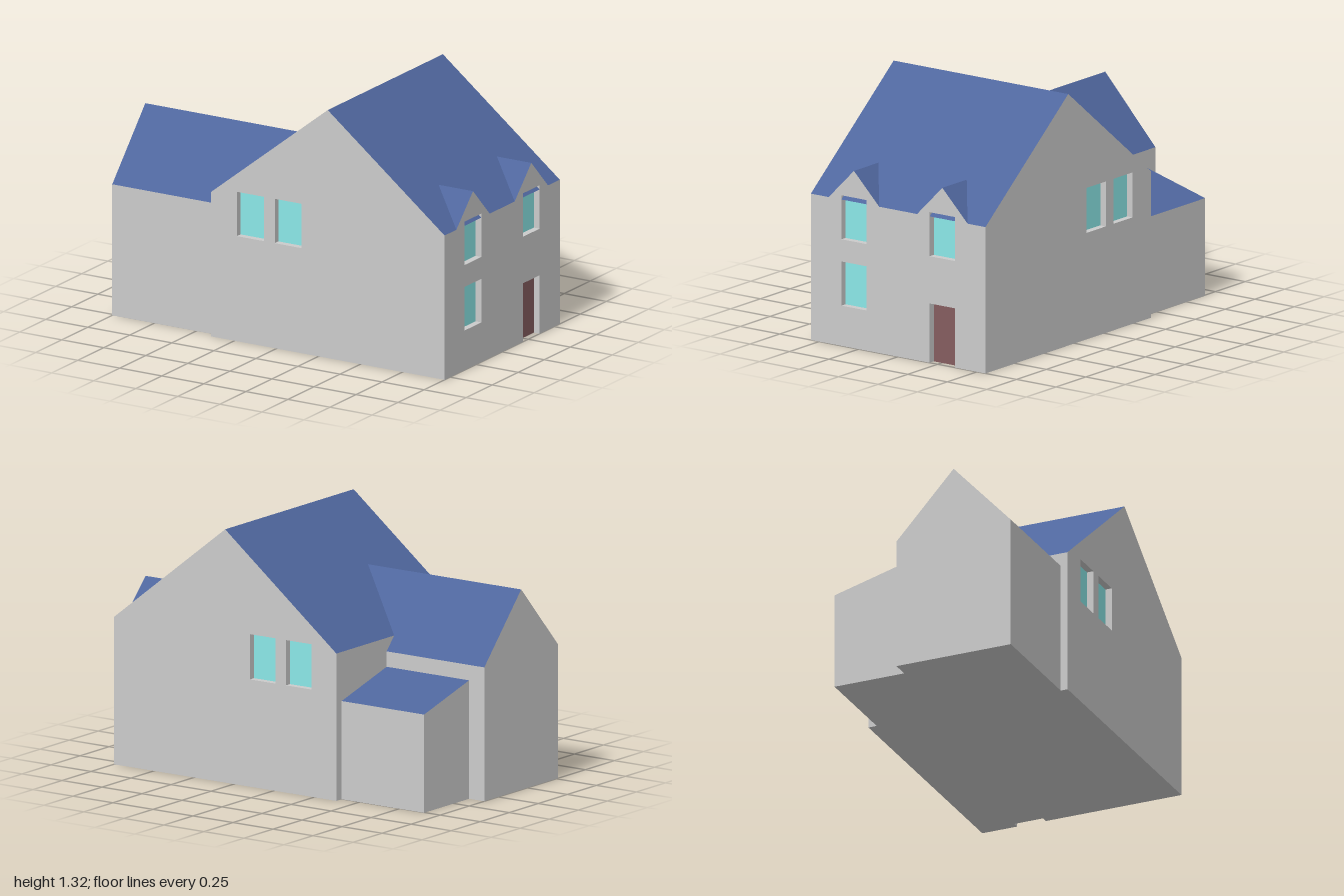
import * as THREE from 'three';

const mat = (color) => new THREE.MeshStandardMaterial({ color, flatShading: true, side: THREE.DoubleSide });
const wallMat = mat(0xcccccc);
const roofMat = mat(0x4f669d);
const glassMat = mat(0x8be8e8);
const doorMat = mat(0x855d5f);

// Main block, wing and lean-to dimensions
const L = -0.39, R = 1, D = 0.553, EAVE = 0.765, RIDGE = 1.315, MID = (L + R) / 2;
const WING = { x: -1, z0: -0.12, z1: 0.515, eave: 0.695, ridge: 1.04 };
const SHED = { x: -0.905, z: -0.507, low: 0.51, high: 0.615 };
const SLOPE = (RIDGE - EAVE) / (MID - L);
const RECESS = 0.035;
const DOOR = { z0: -0.36, z1: -0.2, h: 0.31 };

// Flat polygons, each a convex loop of [x, y, z] corners, counter-clockwise from outside
function polygons(name, material, loops) {
  const pos = [];
  for (const p of loops)
    for (let i = 1; i < p.length - 1; i++) pos.push(...p[0], ...p[i], ...p[i + 1]);
  const g = new THREE.BufferGeometry();
  g.setAttribute('position', new THREE.Float32BufferAttribute(pos, 3));
  g.computeVertexNormals();
  const mesh = new THREE.Mesh(g, material);
  mesh.name = name;
  return mesh;
}

const outlineShape = (pts) => new THREE.Shape(pts.map((p) => new THREE.Vector2(...p)));

// Recessed pane with its reveals, in the wall's own plane (z = 0)
function opening(name, material, x0, x1, y0, y1) {
  const g = new THREE.Group();
  g.name = name;
  const r = -RECESS;
  const pts = [[x0, y0], [x1, y0], [x1, y1], [x0, y1]];
  g.add(polygons(name + 'Pane', material, [pts.map(([x, y]) => [x, y, r])]));
  const sides = pts.map((a, i) => {
    const b = pts[(i + 1) % 4];
    return [[...a, 0], [...b, 0], [...b, r], [...a, r]];
  });
  if (y0 === 0) sides.shift();
  g.add(polygons(name + 'Reveal', wallMat, sides));
  return g;
}

// Wall with window holes
function wall(name, outline, windows) {
  const g = new THREE.Group();
  g.name = name;
  const shape = outlineShape(outline);
  for (const [x0, x1, y0, y1] of windows) {
    shape.holes.push(new THREE.Path([[x0, y0], [x0, y1], [x1, y1], [x1, y0]].map((p) => new THREE.Vector2(...p))));
    g.add(opening('window', glassMat, x0, x1, y0, y1));
  }
  const face = new THREE.Mesh(new THREE.ShapeGeometry(shape), wallMat);
  face.name = name + 'Face';
  g.add(face);
  return g;
}

export function createModel() {
  const house = new THREE.Group();
  house.name = 'house';

  // Front and back gable walls, with matching windows
  for (const s of [1, -1]) {
    const outline = [[L, 0], [R, 0], [R, EAVE], [MID, RIDGE], [L, EAVE]].map(([x, y]) => [x * s, y]);
    const windows = [[-0.235, -0.075], [-0.01, 0.15]].map(([a, b]) =>
      [Math.min(a * s, b * s), Math.max(a * s, b * s), 0.557, 0.792]);
    const gable = wall(s > 0 ? 'frontWall' : 'backWall', outline, windows);
    gable.position.z = s * D;
    gable.rotation.y = s > 0 ? 0 : Math.PI;
    house.add(gable);
  }

  // Entrance wall on +x, with two dormer gables and a door notch
  const entrance = wall('entranceWall', [
    [-D, 0], [-DOOR.z1, 0], [-DOOR.z1, DOOR.h], [-DOOR.z0, DOOR.h], [-DOOR.z0, 0], [D, 0], [D, EAVE],
    [0.44, EAVE], [0.28, 0.927], [0.12, EAVE], [-0.12, EAVE], [-0.28, 0.927], [-0.44, EAVE], [-D, EAVE],
  ], [[-0.36, -0.2, 0.557, 0.787], [0.2, 0.36, 0.557, 0.787], [-0.36, -0.2, 0.21, 0.441]]);
  entrance.add(opening('door', doorMat, -DOOR.z1, -DOOR.z0, 0, DOOR.h));
  entrance.position.x = R;
  entrance.rotation.y = Math.PI / 2;
  house.add(entrance);

  // Plain side wall where the wing joins
  house.add(polygons('sideWall', wallMat, [[[L, 0, -D], [L, 0, D], [L, EAVE, D], [L, EAVE, -D]]]));

  // Main roof
  house.add(polygons('mainRoof', roofMat, [
    [[L, EAVE, -D], [L, EAVE, D], [MID, RIDGE, D], [MID, RIDGE, -D]],
    [[R, EAVE, D], [R, EAVE, -D], [MID, RIDGE, -D], [MID, RIDGE, D]],
  ]));

  // Dormer roofs, running back into the main slope
  const back = R - (0.927 - EAVE) / SLOPE;
  for (const z of [0.28, -0.28]) {
    const top = [R, 0.927, z], tip = [back, 0.927, z];
    house.add(polygons('dormerRoof', roofMat, [
      [[R, EAVE, z + 0.16], top, tip],
      [[R, EAVE, z - 0.16], tip, top],
    ]));
  }

  // Wing walls
  const { x: wx, z0, z1, eave, ridge } = WING;
  const zm = (z0 + z1) / 2;
  house.add(polygons('wingWalls', wallMat, [
    [[wx, 0, z1], [L, 0, z1], [L, eave, z1], [wx, eave, z1]],
    [[L, 0, z0], [wx, 0, z0], [wx, eave, z0], [L, eave, z0]],
    [[wx, 0, z0], [wx, 0, z1], [wx, eave, z1], [wx, ridge, zm], [wx, eave, z0]],
  ]));

  // Wing roof, cut along the valleys of the main roof
  const tipX = L + (ridge - EAVE) / SLOPE;
  const slopes = [z1, z0].map((z) => {
    const valleyZ = z + (zm - z) * (EAVE - eave) / (ridge - eave);
    return [[wx, eave, z], [L, eave, z], [L, EAVE, valleyZ], [tipX, ridge, zm], [wx, ridge, zm]];
  });
  slopes[1].reverse();
  house.add(polygons('wingRoof', roofMat, slopes));

  // Lean-to behind the wing
  const { x: sx, z: sz, low, high } = SHED;
  house.add(polygons('leanToWalls', wallMat, [
    [[L, 0, sz], [sx, 0, sz], [sx, low, sz], [L, low, sz]],
    [[sx, 0, sz], [sx, 0, z0], [sx, high, z0], [sx, low, sz]],
  ]));
  house.add(polygons('leanToRoof', roofMat, [[[sx, low, sz], [sx, high, z0], [L, high, z0], [L, low, sz]]]));

  // Underside following the footprint
  const floor = new THREE.Mesh(new THREE.ShapeGeometry(outlineShape([
    [L, -D], [R, -D], [R, DOOR.z0], [R - RECESS, DOOR.z0], [R - RECESS, DOOR.z1], [R, DOOR.z1], [R, D], [L, D],
    [L, z1], [wx, z1], [wx, z0], [sx, z0], [sx, sz], [L, sz],
  ])), wallMat);
  floor.name = 'floor';
  floor.rotation.x = Math.PI / 2;
  house.add(floor);

  return house;
}
